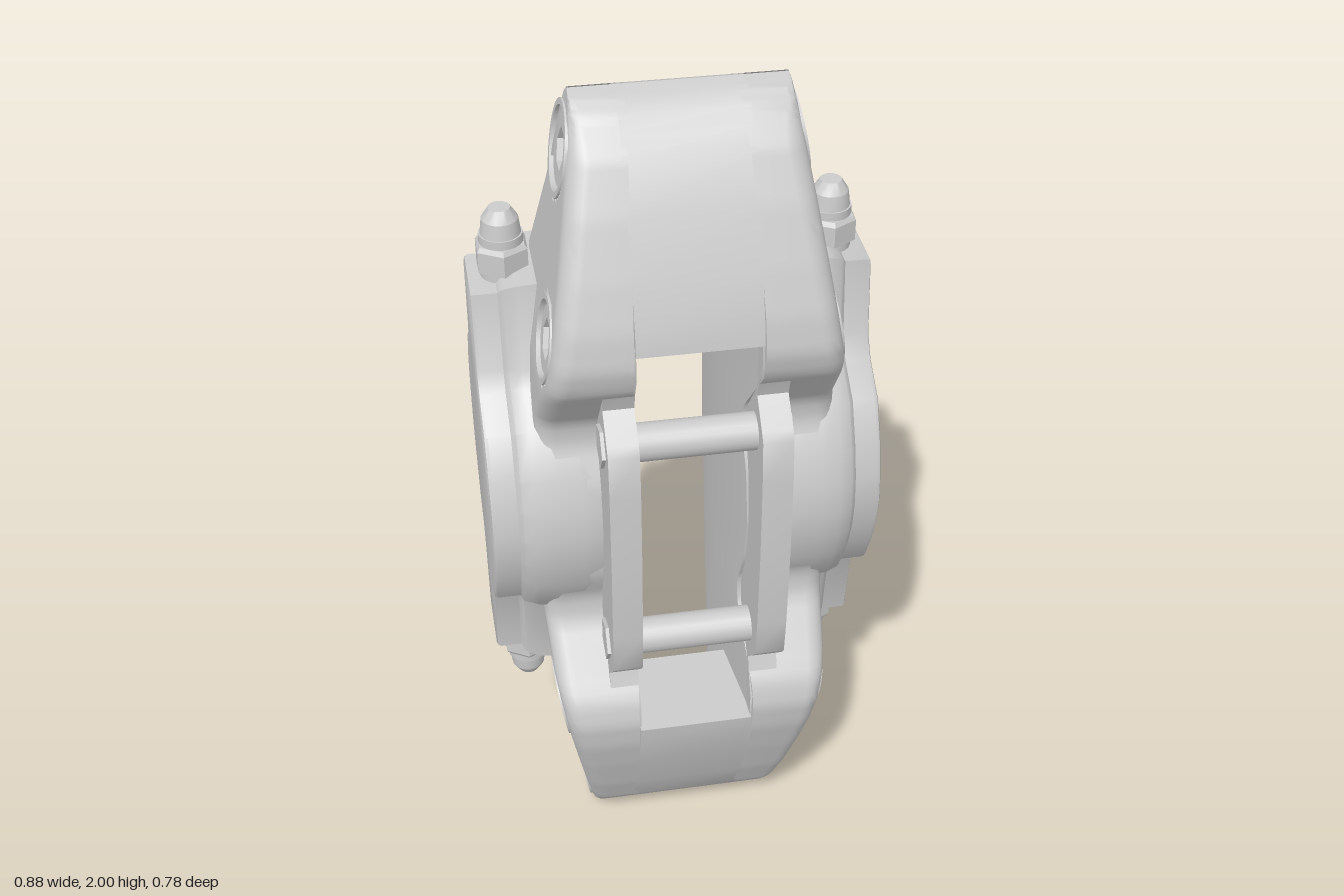
import * as THREE from 'three';
import { toCreasedNormals } from 'three/addons/utils/BufferGeometryUtils.js';

const mat = new THREE.MeshStandardMaterial({ color: 0xcccccc, side: THREE.DoubleSide });

// Profiles against h, the height above or below the middle
const FRONT = [[0, 0.265], [0.13, 0.245], [0.22, 0.205], [0.28, 0.21], [0.38, 0.29], [0.44, 0.34], [0.5, 0.357],
  [0.58, 0.345], [0.68, 0.312], [0.8, 0.265], [0.9, 0.215], [0.97, 0.155], [0.99, 0.125], [1, 0.085]];
const BACK = [[0, -0.39], [0.1, -0.372], [0.2, -0.335], [0.75, -0.074], [0.93, 0.004], [0.98, 0.04], [1, 0.08]];
const WIDTH = [[0, 0.338], [0.2, 0.335], [0.4, 0.32], [1, 0.222]];
const BOLTS = [[0.085, 0.87, 0.1], [0.22, 0.51, 0.095]]; // z, h, radius

function at(table, y) {
  const h = Math.min(Math.abs(y), 1);
  const i = Math.max(1, table.findIndex(p => p[0] >= h));
  const [a, b] = [table[i - 1], table[i]];
  return THREE.MathUtils.lerp(a[1], b[1], (h - a[0]) / (b[0] - a[0]));
}

function add(parent, name, geo, x = 0, y = 0, z = 0) {
  const mesh = new THREE.Mesh(geo, mat);
  mesh.name = name;
  mesh.position.set(x, y, z);
  parent.add(mesh);
  return mesh;
}

// Extrudes a (z, y) outline along x
function extrudeX(points, x0, x1, bevel = {}) {
  const shape = new THREE.Shape(points.map(([z, y]) => new THREE.Vector2(-z, y)));
  const geo = new THREE.ExtrudeGeometry(shape, { depth: x1 - x0, bevelEnabled: false, ...bevel });
  return toCreasedNormals(geo.rotateY(Math.PI / 2).translate(x0, 0, 0), 0.6);
}

// Completes an outline given from the middle up and back to the middle
const mirrored = half => [...half, ...half.slice(1, -1).reverse().map(([z, y]) => [z, -y])];

// One half of the body, as horizontal cross-sections with sunk bolt seats
function bodyGeometry() {
  const rows = 130, cols = 44, pos = [], index = [];
  let n = 0;
  for (let j = 0; j <= rows; j++) {
    const y = Math.sin((j / rows - 0.5) * Math.PI);
    const zf = at(FRONT, y), zb = at(BACK, y), w = at(WIDTH, y), span = zf - zb;
    const inner = z => z < 0 ? 0.1 - 0.115 * z : 0.1 + 0.1 * z;
    const mid = Math.max(zb, 0);
    const ring = [[inner(zf), zf], [inner(mid), mid], [inner(zb), zb]];
    const rb = Math.min(0.07, span * 0.2), rf = Math.min(0.045, span * 0.2);
    for (let k = 0; k <= 6; k++) {
      const a = k / 6 * Math.PI / 2;
      ring.push([w - rb + rb * Math.sin(a), zb + rb - rb * Math.cos(a)]);
    }
    for (let k = 1; k < cols; k++) {
      const z = THREE.MathUtils.lerp(zb + rb, zf - rf, k / cols);
      const sunk = BOLTS.some(b => Math.hypot(z - b[0], Math.abs(y) - b[1]) < b[2] * 0.93);
      ring.push([w - (sunk ? 0.05 : 0), z]);
    }
    for (let k = 0; k <= 6; k++) {
      const a = k / 6 * Math.PI / 2;
      ring.push([w - rf + rf * Math.cos(a), zf - rf + rf * Math.sin(a)]);
    }
    n = ring.length;
    ring.forEach(([x, z]) => pos.push(x, y, z));
  }
  for (let j = 0; j < rows; j++) for (let i = 0; i < n; i++) {
    const a = j * n + i, b = j * n + (i + 1) % n, c = b + n, d = a + n;
    index.push(a, d, c, a, c, b);
  }
  const geo = new THREE.BufferGeometry();
  geo.setAttribute('position', new THREE.Float32BufferAttribute(pos, 3));
  geo.setIndex(index);
  return toCreasedNormals(geo, 0.7);
}

// Sunk socket-head bolt, facing +x
function makeBolt(r) {
  const g = new THREE.Group();
  g.name = 'bolt';
  const cup = [[r * 1.02, -0.01], [r, 0.004], [r * 0.87, 0.004], [r * 0.87, -0.045], [0, -0.045]]
    .reverse().map(p => new THREE.Vector2(...p));
  add(g, 'boltSeat', toCreasedNormals(new THREE.LatheGeometry(cup, 28).rotateZ(-Math.PI / 2), 0.6));
  const head = new THREE.Shape().absarc(0, 0, r * 0.76, 0, Math.PI * 2);
  const hex = [...Array(6)].map((_, i) => new THREE.Vector2(0.045, 0).rotateAround(new THREE.Vector2(), i * Math.PI / 3));
  head.holes.push(new THREE.Path(hex));
  const geo = new THREE.ExtrudeGeometry(head, { depth: 0.04, bevelEnabled: false, curveSegments: 14 });
  add(g, 'boltHead', toCreasedNormals(geo.rotateY(Math.PI / 2), 0.6), -0.044);
  return g;
}

// Bleed nipple, pointing up
function makeNipple() {
  const g = new THREE.Group();
  g.name = 'bleedNipple';
  const parts = [[0.05, 0.05, 0, 0.035, 20], [0.062, 0.062, 0.025, 0.075, 6], [0.055, 0.062, 0.075, 0.085, 6],
    [0.048, 0.048, 0.085, 0.105, 20], [0.04, 0.045, 0.1, 0.14, 20], [0.024, 0.04, 0.14, 0.165, 20]];
  for (const [top, bottom, y0, y1, sides] of parts) {
    const geo = new THREE.CylinderGeometry(top, bottom, y1 - y0, sides);
    add(g, 'nipplePart', toCreasedNormals(geo, 0.6), 0, (y0 + y1) / 2);
  }
  return g;
}

function makeHalf() {
  const g = new THREE.Group();
  g.name = 'caliperHalf';
  add(g, 'body', bodyGeometry());

  // Piston housing with a sloped foot
  const outline = mirrored([[0.24, 0], [0.232, 0.07], [0.21, 0.14], [0.165, 0.23], [0.085, 0.285], [0.055, 0.33],
    [0.03, 0.51], [-0.14, 0.51], [-0.165, 0.34], [-0.185, 0.29], [-0.25, 0.24], [-0.315, 0.14], [-0.338, 0.07], [-0.345, 0]]);
  add(g, 'pistonHousing', extrudeX(outline, 0.2, 0.43,
    { bevelEnabled: true, bevelSize: 0.01, bevelOffset: -0.01, bevelThickness: 0.01, bevelSegments: 2 }));
  add(g, 'housingFoot', extrudeX(outline, 0.24, 0.3,
    { bevelEnabled: true, bevelSize: 0.03, bevelThickness: 0.08, bevelSegments: 3 }));

  // Raised rail beside the pad window
  const rail = mirrored([[0.39, 0], [0.385, 0.2], [0.376, 0.3], [0.36, 0.32], [0.305, 0.375], [0.32, 0.42],
    [0.345, 0.47], [0.34, 0.54], [0.12, 0.54], [0.12, 0]]);
  add(g, 'windowRail', extrudeX(rail, 0.13, 0.197));

  for (const s of [1, -1]) {
    for (const [z, h, r] of BOLTS) {
      const bolt = makeBolt(r);
      bolt.position.set(at(WIDTH, h), s * h, z);
      bolt.rotation.z = s * 0.162;
      g.add(bolt);
    }
    const nipple = makeNipple();
    nipple.position.set(0.36, s * 0.505, -0.055);
    if (s < 0) nipple.rotation.x = Math.PI;
    g.add(nipple);
    // Five-sided pin end
    const end = new THREE.CylinderGeometry(0.05, 0.05, 0.02, 5).toNonIndexed();
    end.computeVertexNormals();
    add(g, 'pinEnd', end.rotateZ(-Math.PI / 2), 0.195, s * 0.277, 0.295);
  }
  return g;
}

export function createModel() {
  const root = new THREE.Group();
  root.name = 'brakeCaliper';
  const caliper = new THREE.Group();
  caliper.name = 'caliper';
  caliper.position.y = 1;
  root.add(caliper);

  // The two halves are the same part turned half a circle
  const left = makeHalf(), right = makeHalf();
  right.rotation.z = Math.PI;
  caliper.add(left, right);

  // Bridges joining the halves, hollowed by the disc's curve
  const heights = [0.53, 0.58, 0.68, 0.8, 0.9, 0.94, 0.97, 0.99, 1];
  const inside = h => Math.max(at(BACK, h), 0.17 - 0.17 * (h / 0.93) ** 2);
  for (const s of [1, -1]) {
    const pts = [...heights.map(h => [at(FRONT, h), s * h]),
      ...heights.slice(0, -1).reverse().map(h => [inside(h), s * h])];
    add(caliper, 'bridge', extrudeX(pts, -0.132, 0.132));
    // Pad retaining pin
    const pin = new THREE.CylinderGeometry(0.042, 0.042, 0.38, 20).rotateZ(Math.PI / 2);
    add(caliper, 'padPin', pin, 0, s * 0.277, 0.295);
  }
  return root;
}
